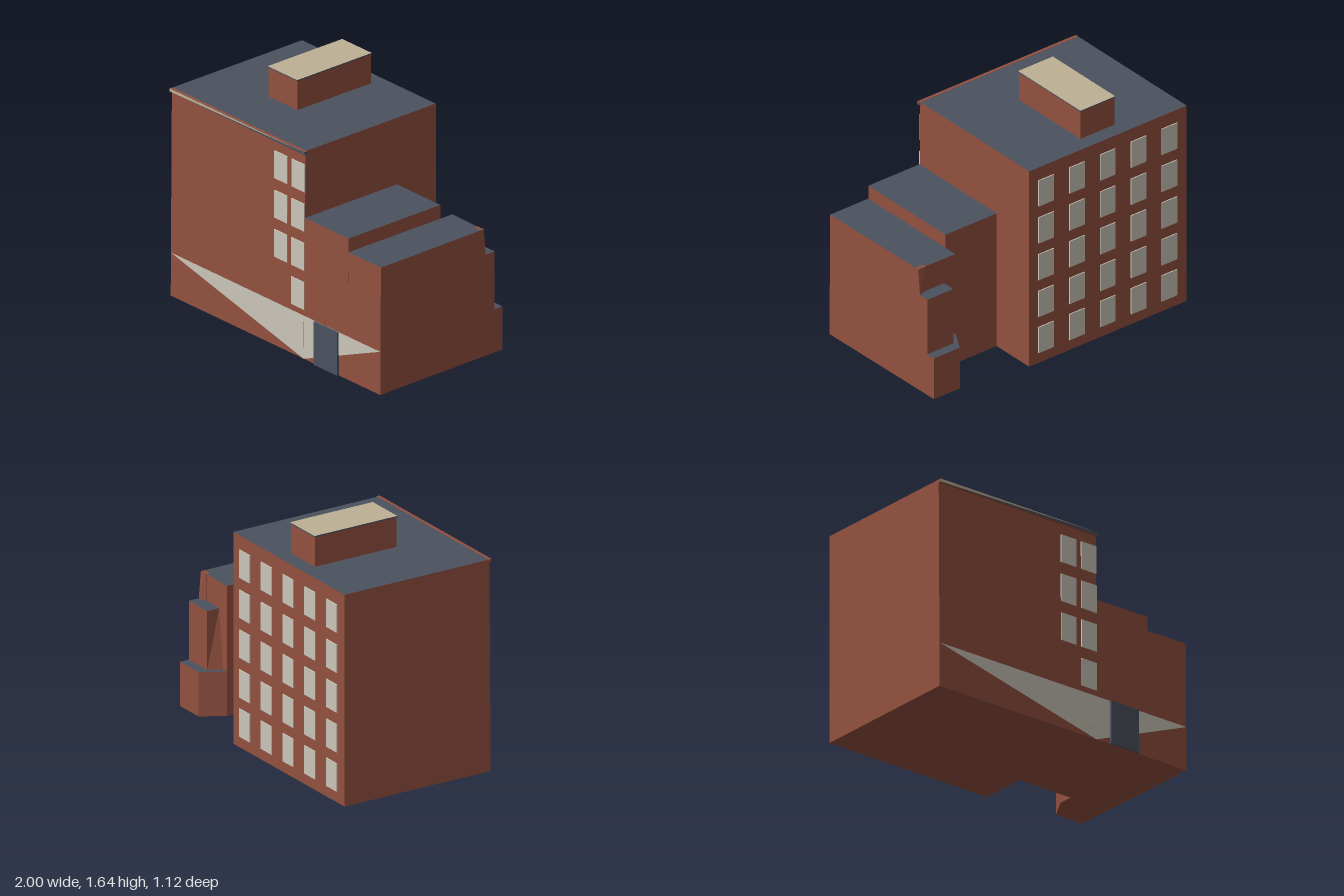
import * as THREE from 'three';

const mat = (name, color) => {
  const m = new THREE.MeshStandardMaterial({ color });
  m.name = name;
  return m;
};

export function createModel() {
  const brick = mat('brick', 0x92503f);
  const slate = mat('slate', 0x4b515f);
  const cream = mat('cream', 0xbdb094);
  const glass = mat('paleGlass', 0xcac6b9);
  const model = new THREE.Group();
  model.name = 'building';

  const add = (name, geometry, material, parent = model) => {
    const mesh = new THREE.Mesh(geometry, material);
    mesh.name = name;
    parent.add(mesh);
    return mesh;
  };

  // Flat-sided block between two plan outlines of [x, z] corners, with its own roof colour
  const block = (name, y0, y1, base, roof, top = base) => {
    const pos = [];
    const n = base.length;
    const lo = base.map(([x, z]) => [x, y0, z]);
    const hi = top.map(([x, z]) => [x, y1, z]);
    const tri = (a, b, c) => pos.push(...a, ...b, ...c);
    for (let i = 0; i < n; i++) {
      const j = (i + 1) % n;
      tri(lo[i], lo[j], hi[j]);
      tri(lo[i], hi[j], hi[i]);
    }
    for (let i = 1; i < n - 1; i++) tri(lo[0], lo[i + 1], lo[i]);
    const walls = pos.length / 3;
    for (let i = 1; i < n - 1; i++) tri(hi[0], hi[i], hi[i + 1]);
    const g = new THREE.BufferGeometry();
    g.setAttribute('position', new THREE.Float32BufferAttribute(pos, 3));
    g.addGroup(0, walls, 0);
    g.addGroup(walls, pos.length / 3 - walls, 1);
    g.computeVertexNormals();
    return add(name, g, [brick, roof]);
  };
  const rect = (x0, x1, z0, z1) => [[x0, z0], [x0, z1], [x1, z1], [x1, z0]];

  // Flat painted panel on the front
  const panel = (name, points, z, material) => {
    const g = new THREE.ShapeGeometry(new THREE.Shape(points.map(([x, y]) => new THREE.Vector2(x, y))));
    g.translate(0, 0, z);
    return add(name, g, material);
  };

  // Main volumes
  block('mainTower', 0, 1.435, rect(-1, 0.275, -0.555, 0.545), slate, rect(-1, 0.275, -0.555, 0.535));
  block('middleWing', 0, 0.975, rect(0.27, 0.69, -0.23, 0.545), slate, rect(0.27, 0.69, -0.23, 0.54));
  block('endWing', 0, 0.88,
    [[0.69, -0.33], [0.69, 0.545], [1, 0.545], [0.99, -0.33]], slate,
    [[0.69, -0.33], [0.69, 0.54], [1, 0.54], [0.99, -0.325]]);

  // Stepped rear of the end wing
  block('upperStep', 0.3, 0.7,
    [[0.78, -0.42], [0.735, -0.33], [0.735, -0.3], [0.99, -0.3], [0.99, -0.42]], slate,
    [[0.78, -0.42], [0.78, -0.33], [0.78, -0.3], [0.99, -0.3], [0.99, -0.42]]);
  block('lowerStep', 0, 0.3,
    [[0.78, -0.485], [0.69, -0.33], [0.69, -0.3], [0.99, -0.3], [0.99, -0.485]], slate);
  block('rearSlope', 0.7, 0.88,
    [[0.93, -0.33], [0.93, -0.3], [0.99, -0.3], [0.99, -0.345]], brick,
    [[0.93, -0.33], [0.93, -0.3], [0.99, -0.3], [0.99, -0.33]]);

  // Roof house with its cap
  block('roofHouse', 1.435, 1.637, rect(-0.5, -0.225, -0.45, 0.165), cream);
  const cap = new THREE.BoxGeometry(0.282, 0.008, 0.624).translate(-0.3625, 1.641, -0.143);
  add('roofHouseCap', cap, [slate, slate, cream, slate, slate, slate]);

  // Front coping, pale wedge over a dark strip
  const coping = new THREE.BoxGeometry(1.285, 0.021, 0.022).translate(-0.3575, 1.4255, 0.541);
  add('coping', coping, [slate, brick, brick, brick, slate, brick]);
  panel('copingWedge', [[-1, 1.436], [-1, 1.415], [0.285, 1.435]], 0.5535, cream);

  // Pale entrance band and door
  panel('entranceBand', [[-1, 0.3], [0.27, 0], [1, 0.3]], 0.5465, glass);
  add('door', new THREE.BoxGeometry(0.225, 0.297, 0.018).translate(0.4925, 0.15, 0.551), slate);

  // Windows
  const rows = [0.17, 0.435, 0.705, 0.975, 1.247];
  const windows = new THREE.Group();
  windows.name = 'windows';
  model.add(windows);
  const pane = new THREE.BoxGeometry(0.123, 0.19, 0.009);
  const addWindow = (name, x, y, z) => add(name, pane, glass, windows).position.set(x, y, z);
  rows.forEach((y, i) => {
    addWindow('frontWindow', 0.212, y, 0.5455 - y * 0.005);
    if (i > 1) addWindow('frontWindow', 0.048, y, 0.5455 - y * 0.005);
    for (let c = 0; c < 5; c++) addWindow('backWindow', -0.858 + c * 0.2495, y, -0.5575);
  });
  return model;
}
